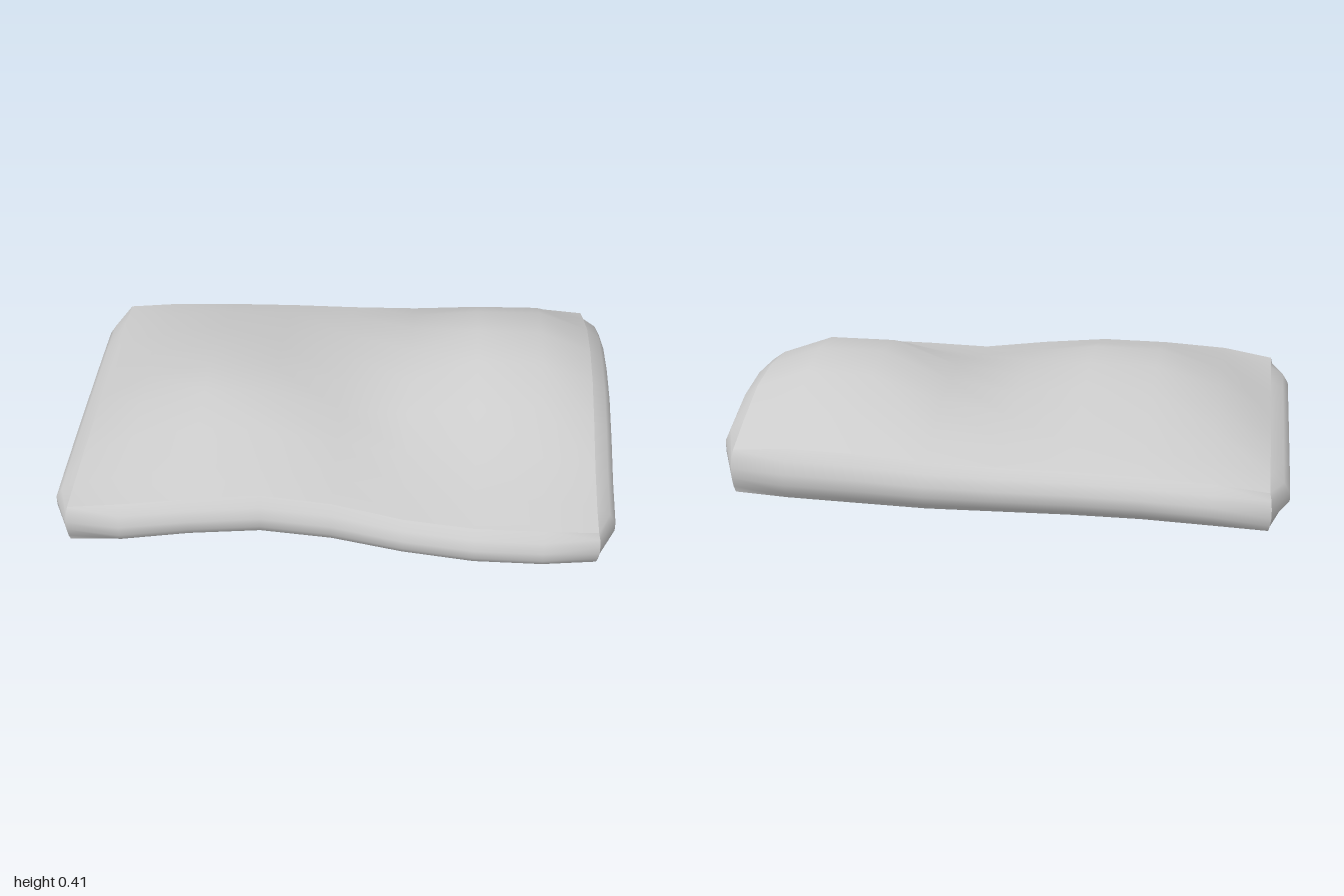
import * as THREE from 'three';
import { mergeVertices } from 'three/addons/utils/BufferGeometryUtils.js';

const X = [-0.93, -0.74, -0.5, -0.25, 0, 0.25, 0.5, 0.74, 0.93];
const Z = [-0.67, -0.54, -0.36, -0.18, 0, 0.18, 0.36, 0.54, 0.67];
const N = 8;

// Height of the upper face, one row per z station from back to front
const TOP = [
  [0.155, 0.175, 0.185, 0.19, 0.19, 0.195, 0.21, 0.215, 0.2],
  [0.165, 0.2, 0.23, 0.235, 0.225, 0.245, 0.295, 0.3, 0.255],
  [0.17, 0.235, 0.275, 0.275, 0.255, 0.3, 0.385, 0.39, 0.32],
  [0.17, 0.26, 0.315, 0.315, 0.275, 0.315, 0.415, 0.415, 0.34],
  [0.17, 0.275, 0.34, 0.34, 0.28, 0.305, 0.395, 0.395, 0.325],
  [0.17, 0.275, 0.345, 0.345, 0.275, 0.27, 0.325, 0.325, 0.27],
  [0.17, 0.25, 0.3, 0.3, 0.255, 0.22, 0.235, 0.235, 0.2],
  [0.165, 0.215, 0.25, 0.25, 0.22, 0.18, 0.18, 0.18, 0.155],
  [0.16, 0.19, 0.21, 0.22, 0.195, 0.155, 0.15, 0.15, 0.145],
];

// Heights along the four edges of the underside
const FRONT = [0.015, 0.035, 0.06, 0.065, 0.045, 0.015, 0.008, 0.008, 0.015];
const BACK = [0.015, 0.022, 0.03, 0.03, 0.025, 0.02, 0.025, 0.03, 0.04];
const LEFT = [0.04, 0.07, 0.12, 0.14, 0.135, 0.09, 0.03, 0, 0.015];
const RIGHT = [0.015, 0.018, 0.022, 0.026, 0.026, 0.024, 0.02, 0.016, 0.015];

// The front edge is drawn in slightly at the middle
const FRONT_Z = [0.66, 0.67, 0.65, 0.625, 0.625, 0.645, 0.672, 0.672, 0.66];

const mix = THREE.MathUtils.lerp;

function planPoint(i, j, y) {
  const z = j > 4 ? Z[j] * mix(1, FRONT_Z[i] / Z[N], (j - 4) / 4) : Z[j];
  return new THREE.Vector3(X[i], y, z);
}

// Blend a height across the sheet from its values along the four edges
function blendEdges(f, i, j) {
  const u = (X[i] - X[0]) / (X[N] - X[0]);
  const v = (Z[j] - Z[0]) / (Z[N] - Z[0]);
  const corners = mix(mix(f(0, 0), f(N, 0), u), mix(f(0, N), f(N, N), u), v);
  return mix(f(0, j), f(N, j), u) + mix(f(i, 0), f(i, N), v) - corners;
}

const topHeight = (i, j) => TOP[j][i];

function bottomEdge(i, j) {
  if (j === 0) return BACK[i];
  if (j === N) return FRONT[i];
  return i === 0 ? RIGHT[j] : LEFT[j];
}

const topPoint = (i, j) => planPoint(i, j, topHeight(i, j));

// The underside echoes the humps of the upper face more softly
function bottomPoint(i, j) {
  const hump = topHeight(i, j) - blendEdges(topHeight, i, j);
  return planPoint(i, j, blendEdges(bottomEdge, i, j) + 0.6 * hump);
}

// Rim point: t is 0 at the upper edge, 1 at the lower edge, out is the bulge
function rimPoint([i, j], [t, out]) {
  const p = topPoint(i, j).lerp(bottomPoint(i, j), t);
  const sideX = i === 0 ? -1 : i === N ? 1 : 0;
  const sideZ = j === 0 ? -1 : j === N ? 1 : 0;
  const corner = sideX && sideZ;
  p.x += sideX * out * (corner ? 0.008 : 0.07);
  p.z += sideZ * out * (corner ? 0.012 : 0.05);
  return p;
}

function addQuad(out, a, b, c, d) {
  for (const p of [a, b, c, a, c, d]) out.push(p.x, p.y, p.z);
}

function addGrid(out, point, flip) {
  for (let j = 0; j < N; j++) {
    for (let i = 0; i < N; i++) {
      const q = [point(i, j), point(i, j + 1), point(i + 1, j + 1), point(i + 1, j)];
      addQuad(out, ...(flip ? q.reverse() : q));
    }
  }
}

function makeMesh(name, positions) {
  const attribute = new THREE.Float32BufferAttribute(positions, 3);
  const geometry = mergeVertices(new THREE.BufferGeometry().setAttribute('position', attribute));
  geometry.computeVertexNormals();
  const mesh = new THREE.Mesh(geometry, new THREE.MeshStandardMaterial({ color: 0xcccccc }));
  mesh.name = name;
  return mesh;
}

// Cross-section of the rounded rim
const PROFILE = [[0, 0], [0.18, 0.68], [0.42, 1], [0.64, 1], [0.85, 0.6], [1, 0]];

// Edge stations of each side, anticlockwise from above
const SIDES = {
  rightRim: (k) => [0, k],
  frontRim: (k) => [k, N],
  leftRim: (k) => [N, N - k],
  backRim: (k) => [N - k, 0],
};

export function createModel() {
  const group = new THREE.Group();
  group.name = 'cushion';

  // Puffed upper face
  const top = [];
  addGrid(top, topPoint, false);
  group.add(makeMesh('upperFace', top));

  // Gently warped underside
  const base = [];
  addGrid(base, bottomPoint, true);
  group.add(makeMesh('underside', base));

  // Four rounded rims, meeting at sharp corners
  for (const [name, station] of Object.entries(SIDES)) {
    const rim = [];
    for (let k = 0; k < N; k++) {
      const [a, b] = [station(k), station(k + 1)];
      for (let l = 0; l < PROFILE.length - 1; l++) {
        const [t, s] = [PROFILE[l], PROFILE[l + 1]];
        addQuad(rim, rimPoint(a, t), rimPoint(a, s), rimPoint(b, s), rimPoint(b, t));
      }
    }
    group.add(makeMesh(name, rim));
  }
  return group;
}
